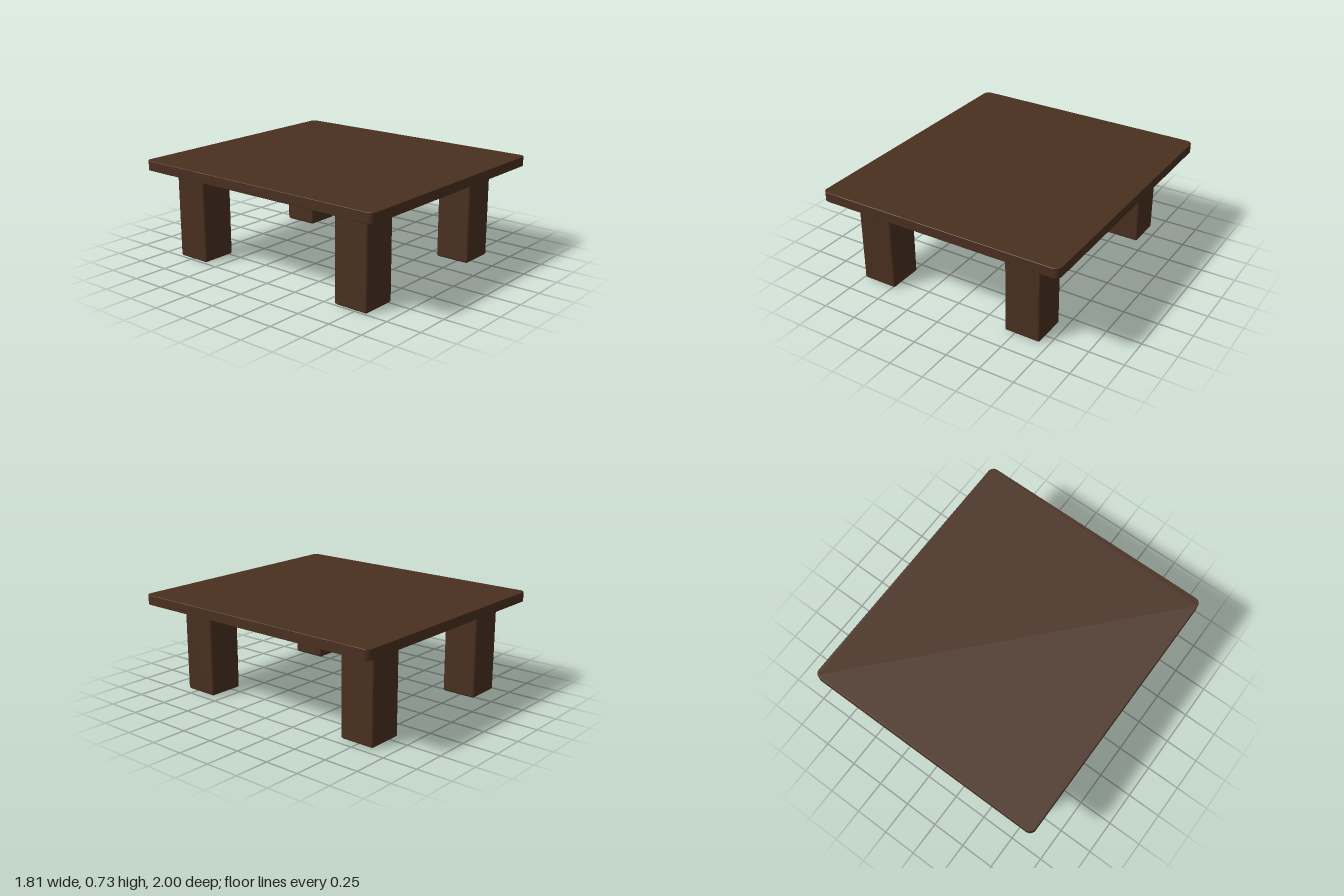
import * as THREE from 'three';

const wood = new THREE.MeshStandardMaterial({ color: 0x4a3020, flatShading: true });

// Rectangle outline with rounded corners, centred on the origin
function roundedRect(w, d, r) {
  const x = w / 2, y = d / 2, s = new THREE.Shape();
  s.absarc(x - r, y - r, r, 0, Math.PI / 2);
  s.absarc(-x + r, y - r, r, Math.PI / 2, Math.PI);
  s.absarc(-x + r, -y + r, r, Math.PI, Math.PI * 1.5);
  s.absarc(x - r, -y + r, r, Math.PI * 1.5, Math.PI * 2);
  s.closePath();
  return s;
}

// Upright block with its base at y = 0 and slightly eased rims
function block(w, h, d, r, bevel, curveSegments) {
  const shape = roundedRect(w - 2 * bevel, d - 2 * bevel, r - bevel);
  const geo = new THREE.ExtrudeGeometry(shape, {
    depth: h - 2 * bevel, bevelEnabled: true, bevelThickness: bevel,
    bevelSize: bevel, bevelSegments: 1, curveSegments,
  });
  geo.translate(0, 0, bevel);
  geo.rotateX(-Math.PI / 2);
  return geo;
}

export function createModel() {
  const table = new THREE.Group();
  table.name = 'table';

  // Tabletop slab
  const top = new THREE.Mesh(block(1.81, 0.07, 2, 0.045, 0.002, 5), wood);
  top.name = 'tabletop';
  top.position.y = 0.655;
  table.add(top);

  // Four thick square legs, set in from the edges
  const legGeo = block(0.26, 0.66, 0.26, 0.014, 0.01, 2);
  const legs = [
    ['frontLeftLeg', 0.558, 0.709],
    ['frontRightLeg', -0.611, 0.709],
    ['backLeftLeg', 0.556, -0.739],
    ['backRightLeg', -0.604, -0.739],
  ];
  for (const [name, x, z] of legs) {
    const leg = new THREE.Mesh(legGeo, wood);
    leg.name = name;
    leg.position.set(x, 0, z);
    table.add(leg);
  }
  return table;
}
